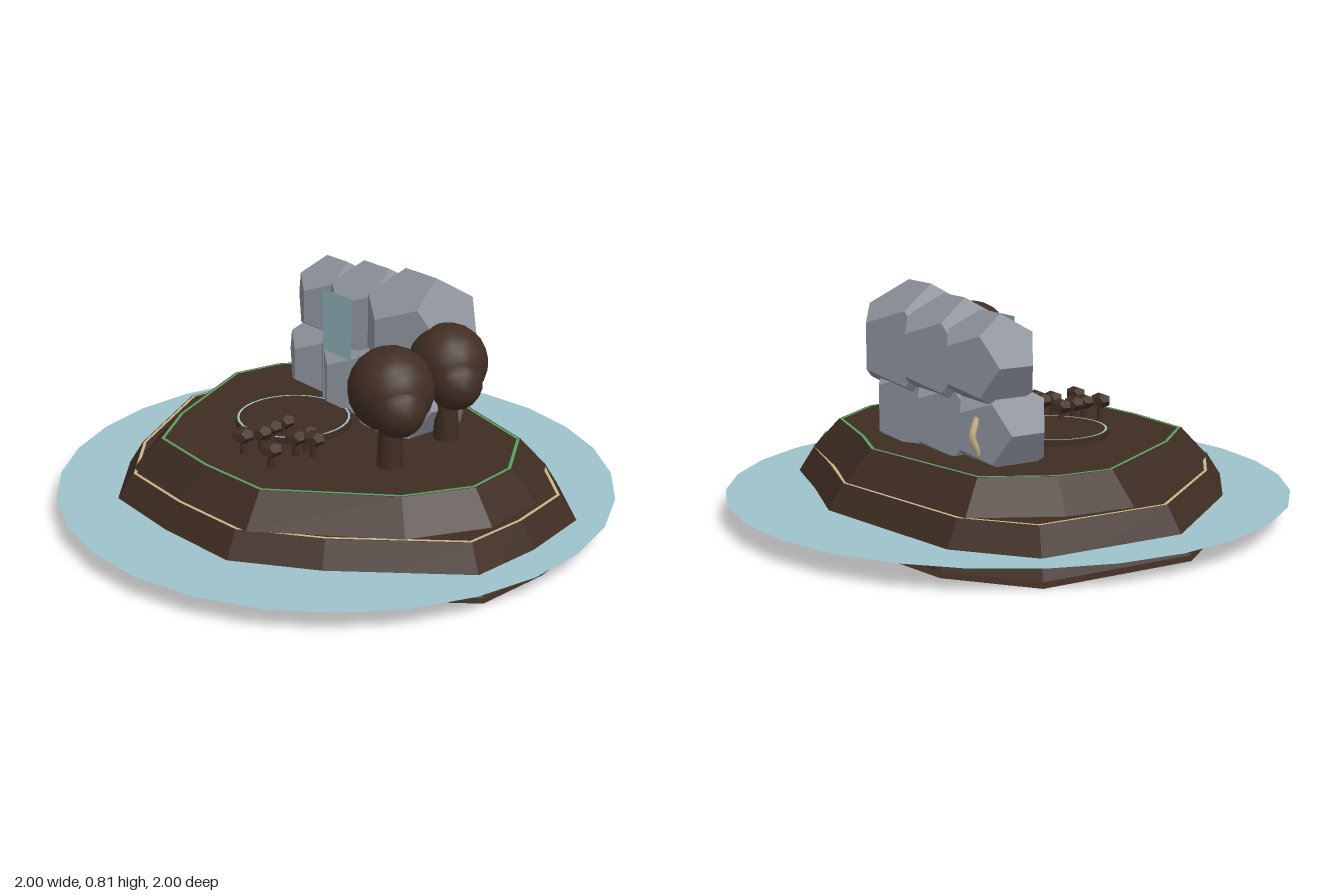
import * as THREE from 'three';

const mat = (name, color, side = THREE.FrontSide) => {
  const m = new THREE.MeshStandardMaterial({ color, side });
  m.name = name;
  return m;
};

// Outlines as [x, z], running from the back round by +x
const SHORE = [[0, -.65], [.27, -.575], [.54, -.515], [.76, -.365], [.815, -.12], [.825, .11], [.515, .455],
  [.285, .64], [0, .675], [-.29, .675], [-.51, .5], [-.785, .105], [-.765, -.365], [-.565, -.535]];
const PLATEAU = [[0, -.545], [.2, -.485], [.505, -.425], [.665, -.22], [.695, -.025], [.6, .21], [.275, .535],
  [0, .567], [-.285, .56], [-.44, .38], [-.66, -.02], [-.64, -.215], [-.52, -.435]];

// Grow (or shrink) an outline by a fixed distance with mitred corners
function offset(loop, d) {
  const n = loop.length;
  const normal = (a, b) => {
    const dx = b[0] - a[0], dz = b[1] - a[1], l = Math.hypot(dx, dz);
    return [dz / l, -dx / l];
  };
  return loop.map((p, i) => {
    const u = normal(loop[(i + n - 1) % n], p), v = normal(p, loop[(i + 1) % n]);
    const k = d / (1 + u[0] * v[0] + u[1] * v[1]);
    return [p[0] + (u[0] + v[0]) * k, p[1] + (u[1] + v[1]) * k];
  });
}

// Flat-shaded strip between two outlines
function band(lower, y0, upper, y1) {
  const pos = [];
  lower.forEach((a, i) => {
    const j = (i + 1) % lower.length, b = lower[j], c = upper[i], d = upper[j];
    pos.push(a[0], y0, a[1], c[0], y1, c[1], b[0], y0, b[1]);
    pos.push(b[0], y0, b[1], c[0], y1, c[1], d[0], y1, d[1]);
  });
  const g = new THREE.BufferGeometry();
  g.setAttribute('position', new THREE.Float32BufferAttribute(pos, 3));
  g.computeVertexNormals();
  return g;
}

// Horizontal sheet filling an outline
function sheet(loop, y) {
  const shape = new THREE.Shape(loop.map(([x, z]) => new THREE.Vector2(x, -z)));
  return new THREE.ShapeGeometry(shape).rotateX(-Math.PI / 2).translate(0, y, 0);
}

export function createModel() {
  const root = new THREE.Group();
  root.name = 'island';
  const earth = mat('earth brown', 0x3e2c22, THREE.DoubleSide);
  const wood = mat('wood brown', 0x402d22);
  const stone = mat('stone grey', 0x8b909a);
  const water = mat('water blue', 0x9dc2ca, THREE.DoubleSide);
  const sand = mat('sand', 0xc9b487, THREE.DoubleSide);
  const grass = mat('grass green', 0x55a05c);
  stone.flatShading = true;

  const add = (name, geo, material, pos = [0, 0, 0], parent = root) => {
    const m = new THREE.Mesh(geo, material);
    m.name = name;
    m.position.set(...pos);
    parent.add(m);
    return m;
  };

  // Sea
  add('sea', new THREE.CircleGeometry(1, 28).rotateX(-Math.PI / 2), water, [0, .08, 0]);

  // Two sloping land tiers with a coloured rim on each
  const tier = (name, top, y0, y1, rimMat) => {
    const g = new THREE.Group();
    g.name = name;
    root.add(g);
    const rim = offset(top, -.003), inner = offset(top, -.014);
    add(name + 'Slope', band(offset(top, .09), y0, top, y1), earth, undefined, g);
    add(name + 'Edge', band(top, y1, rim, y1), earth, undefined, g);
    add(name + 'Rim', band(rim, y1, inner, y1), rimMat, undefined, g);
    add(name + 'Top', sheet(inner, y1), earth, undefined, g);
  };
  tier('lowerTier', SHORE, .02, .165, sand);
  tier('upperTier', PLATEAU, .165, .27, grass);
  const base = offset(SHORE, .09);
  add('sandBed', sheet(base, .02), sand);
  add('islandBottom', sheet(base, 0), earth);

  // Cliff: two rows of three boulders
  const cliff = new THREE.Group();
  cliff.name = 'cliff';
  root.add(cliff);
  [[-.35, .17], [-.12, .2], [.12, .225]].forEach(([x, r]) => {
    add('upperBoulder', new THREE.DodecahedronGeometry(r), stone, [x, .6, -.285], cliff);
    add('lowerBoulder', new THREE.DodecahedronGeometry(r), stone, [x, .38, -.24], cliff);
  });

  // Root clinging to the back of the cliff
  const rootPath = new THREE.CatmullRomCurve3([[-.4, .31, -.36], [-.405, .37, -.385], [-.395, .43, -.36]]
    .map(p => new THREE.Vector3(...p)));
  add('cliffRoot', new THREE.TubeGeometry(rootPath, 8, .012, 6), sand);

  // Waterfall and pool
  add('waterfall', new THREE.PlaneGeometry(.165, .45), water, [-.118, .487, -.098]);
  add('poolBank', new THREE.CylinderGeometry(.21, .21, .02, 32), earth, [-.118, .28, .1]);
  add('poolRim', new THREE.RingGeometry(.196, .204, 32).rotateX(-Math.PI / 2), water, [-.118, .292, .1]);

  // Trees: trunk, crown and side clump
  [[.39, .545, .08, .145], [.33, .55, -.23, .138]].forEach(([x, y, z, r]) => {
    const tree = new THREE.Group();
    tree.name = 'tree';
    tree.position.set(x, 0, z);
    root.add(tree);
    add('trunk', new THREE.CylinderGeometry(.035, .046, .2, 8), wood, [0, .365, 0], tree);
    add('crown', new THREE.IcosahedronGeometry(r, 3), wood, [0, y, 0], tree);
    add('sideClump', new THREE.IcosahedronGeometry(.095, 2), wood, [.075, .505, .035], tree);
  });

  // Small shrubs in front of the pool
  [[-.015, .22], [0, .285], [.015, .34], [0, .405], [.115, .22], [.125, .275], [.175, .235], [.155, .4]]
    .forEach(([x, z]) => {
      const shrub = new THREE.Group();
      shrub.name = 'shrub';
      shrub.position.set(x, .27, z);
      root.add(shrub);
      add('stem', new THREE.CylinderGeometry(.011, .014, .06, 6), wood, [0, .03, 0], shrub);
      add('leaves', new THREE.DodecahedronGeometry(.041), wood, [0, .067, 0], shrub).scale.y = .7;
    });

  return root;
}
